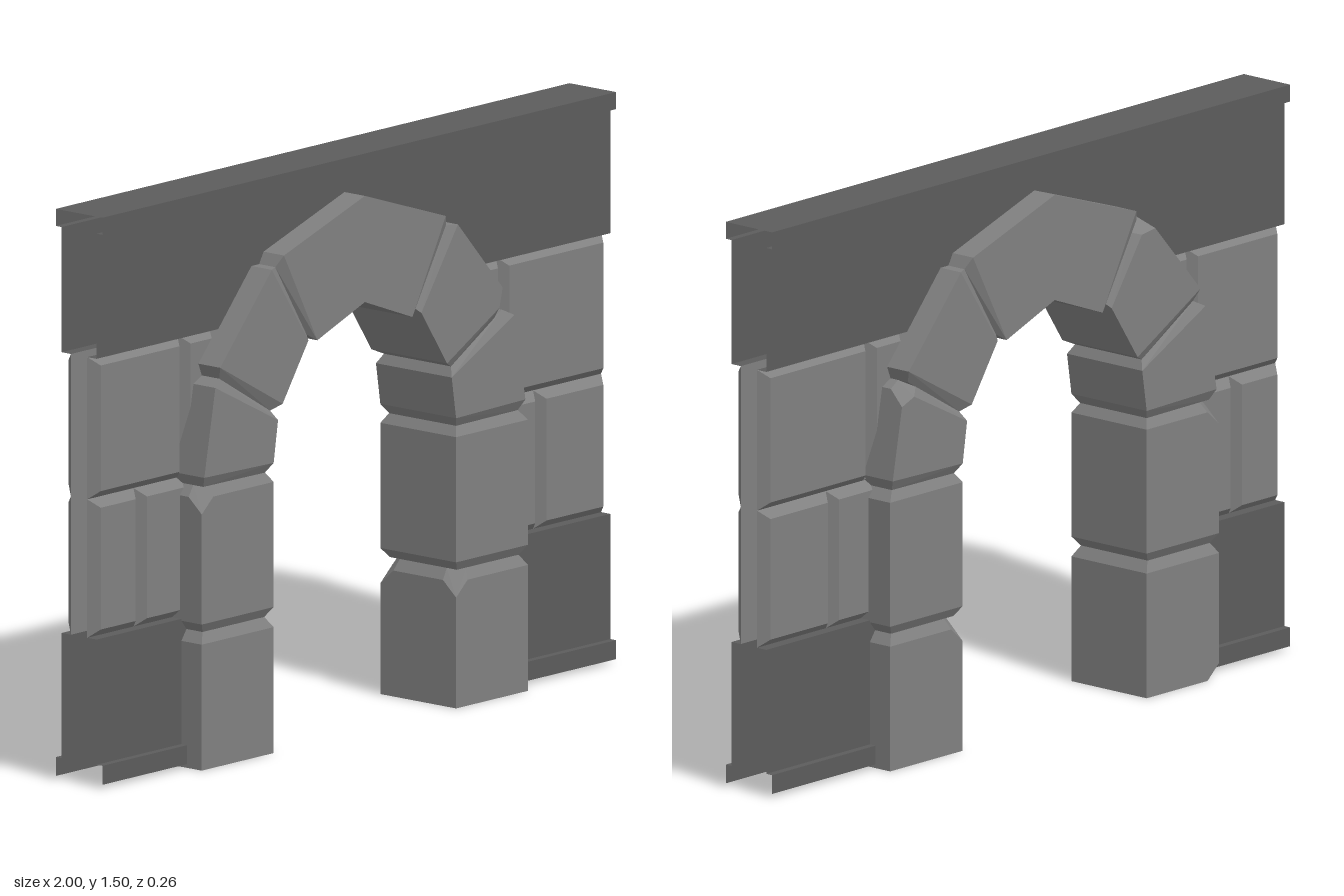
import * as THREE from 'three';
import { ConvexGeometry } from 'three/addons/geometries/ConvexGeometry.js';

const MID = -0.035;      // x of the arch's centre line
const DEPTH = 0.13;      // half depth of the arch stones
const JOINT = 0.115;     // half depth inside the joints

function makeMaterial(color) {
  return new THREE.MeshStandardMaterial({ color, flatShading: true, side: THREE.DoubleSide });
}
const stoneGrey = makeMaterial(0x808080);  // arch stones and wall blocks
const panelGrey = makeMaterial(0x5c5c5c);  // plain panels, trim and skirting

function addMesh(parent, name, geometry, material) {
  const mesh = new THREE.Mesh(geometry, material);
  mesh.name = name;
  parent.add(mesh);
}

// Open sheet: a [y, z] profile swept along x
function sweep(profile, x0, x1) {
  const pos = [];
  for (let i = 0; i + 1 < profile.length; i++) {
    const [ya, za] = profile[i], [yb, zb] = profile[i + 1];
    pos.push(x0, ya, za, x1, ya, za, x1, yb, zb);
    pos.push(x0, ya, za, x1, yb, zb, x0, yb, zb);
  }
  const g = new THREE.BufferGeometry();
  g.setAttribute('position', new THREE.Float32BufferAttribute(pos, 3));
  g.computeVertexNormals();
  return g;
}

// Wall block with a bevelled outer face
function brick(x0, x1, y0, y1, side) {
  const inset = 0.022, zBase = 0.028, zFace = 0.055;
  const w = x1 - x0, h = y1 - y0;
  const g = new THREE.BoxGeometry(w, h, zFace - zBase);
  const p = g.attributes.position;
  for (let i = 0; i < p.count; i++) {
    if (p.getZ(i) * side > 0) {
      p.setX(i, Math.sign(p.getX(i)) * (w / 2 - inset));
      p.setY(i, Math.sign(p.getY(i)) * (h / 2 - inset));
    }
  }
  g.translate((x0 + x1) / 2, (y0 + y1) / 2, side * (zBase + zFace) / 2);
  g.computeVertexNormals();
  return g;
}

// Arch stone: full sections at both ends, tapering into the joints.
// Each section is [inner, outer], given as [distance from centre line, y].
// A chip [end, edge, zSide] cuts off one corner.
function archStone(stone, s, chips) {
  const points = [];
  const at = (q, z) => new THREE.Vector3(MID + s * q[0], q[1], z);
  for (const end of [0, 1]) for (const edge of [0, 1]) for (const zs of [-1, 1]) {
    const chipped = chips.some((c) => c[0] === end && c[1] === edge && c[2] === zs);
    const full = stone.full[end], joint = stone.joint[end];
    const corner = at(full[edge], zs * DEPTH);
    const toward = (target, d) => {
      const dir = target.clone().sub(corner);
      return corner.clone().addScaledVector(dir.normalize(), d);
    };
    if (chipped) {
      points.push(
        toward(at(stone.full[1 - end][edge], zs * DEPTH), 0.04),
        toward(at(full[1 - edge], zs * DEPTH), 0.045),
        toward(at(full[edge], -zs * DEPTH), 0.045));
    } else points.push(corner);
    if (!joint) continue;
    const inner = at(joint[edge], zs * JOINT);
    if (chipped) {
      points.push(
        inner.clone().lerp(at(joint[1 - edge], zs * JOINT), 0.15),
        inner.clone().lerp(at(joint[edge], -zs * JOINT), 0.15));
    } else points.push(inner);
  }
  return new ConvexGeometry(points);
}

export function createModel() {
  const model = new THREE.Group();
  model.name = 'archwayWall';

  // Upper panel with its top trim, folded over front and back
  const wall = new THREE.Group();
  wall.name = 'wall';
  model.add(wall);
  const upper = [[1.13, 0.028], [1.13, 0.06], [1.46, 0.06], [1.46, 0.08], [1.505, 0.08]];
  const upperBack = upper.map(([y, z]) => [y, -z]).reverse();
  addMesh(wall, 'upperPanel', sweep([...upper, ...upperBack], -1, 1), panelGrey);

  // Lower panels with skirting, and two courses of blocks, on both faces
  const lower = [[0.01, 0.08], [0.06, 0.08], [0.06, 0.06], [0.39, 0.06], [0.39, 0.028]];
  const courses = [
    { y: [0.39, 0.755], x: [[-1, -0.82], [-0.82, -0.48], [0.42, 0.735], [0.735, 1]] },
    { y: [0.755, 1.13], x: [[-1, -0.65], [-0.65, -0.45], [0.4, 0.59], [0.59, 1]] },
  ];
  for (const side of [1, -1]) {
    const profile = lower.map(([y, z]) => [y, z * side]);
    if (side < 0) profile.reverse();
    addMesh(wall, 'lowerPanelRight', sweep(profile, -1, -0.5), panelGrey);
    addMesh(wall, 'lowerPanelLeft', sweep(profile, 0.43, 1), panelGrey);
    for (const { y, x } of courses) {
      for (const [x0, x1] of x) {
        addMesh(wall, 'wallBlock', brick(x0, x1, y[0], y[1], side), stoneGrey);
      }
    }
  }

  // Joints and stones of one half of the arch, from the ground to the crown
  const joints = [
    null,
    [[0.375, 0.36], [0.615, 0.36]],
    [[0.372, 0.74], [0.612, 0.742]],
    [[0.352, 0.9], [0.55, 1.017]],
    [[0.21, 1.077], [0.332, 1.275]],
    null,
  ];
  const stones = [
    ['jambFoot', [[0.355, 0], [0.635, 0]], [[0.355, 0.332], [0.635, 0.332]]],
    ['jambStone', [[0.355, 0.385], [0.635, 0.385]], [[0.355, 0.715], [0.635, 0.715]]],
    ['springer', [[0.355, 0.765], [0.625, 0.77]], [[0.338, 0.875], [0.582, 1.0]]],
    ['haunchStone', [[0.32, 0.915], [0.563, 1.05]], [[0.22, 1.065], [0.362, 1.275]]],
    ['crownHalf', [[0.185, 1.06], [0.315, 1.305]], [[0, 1.13], [0, 1.41]]],
  ];

  // Chipped corners: stone index -> [end, edge, zSide]
  const chips = {
    '1': { 0: [[1, 0, 1], [1, 0, -1]], 2: [[1, 1, -1]], 3: [[0, 1, 1]] },
    '-1': { 0: [[0, 1, -1]], 1: [[1, 1, 1], [1, 1, -1]], 3: [[1, 1, -1]] },
  };

  const arch = new THREE.Group();
  arch.name = 'arch';
  model.add(arch);
  for (const s of [1, -1]) {
    stones.forEach(([name, start, end], i) => {
      const stone = { full: [start, end], joint: [joints[i], joints[i + 1]] };
      const geometry = archStone(stone, s, chips[s][i] || []);
      addMesh(arch, name + (s > 0 ? 'Left' : 'Right'), geometry, stoneGrey);
    });
  }
  return model;
}
